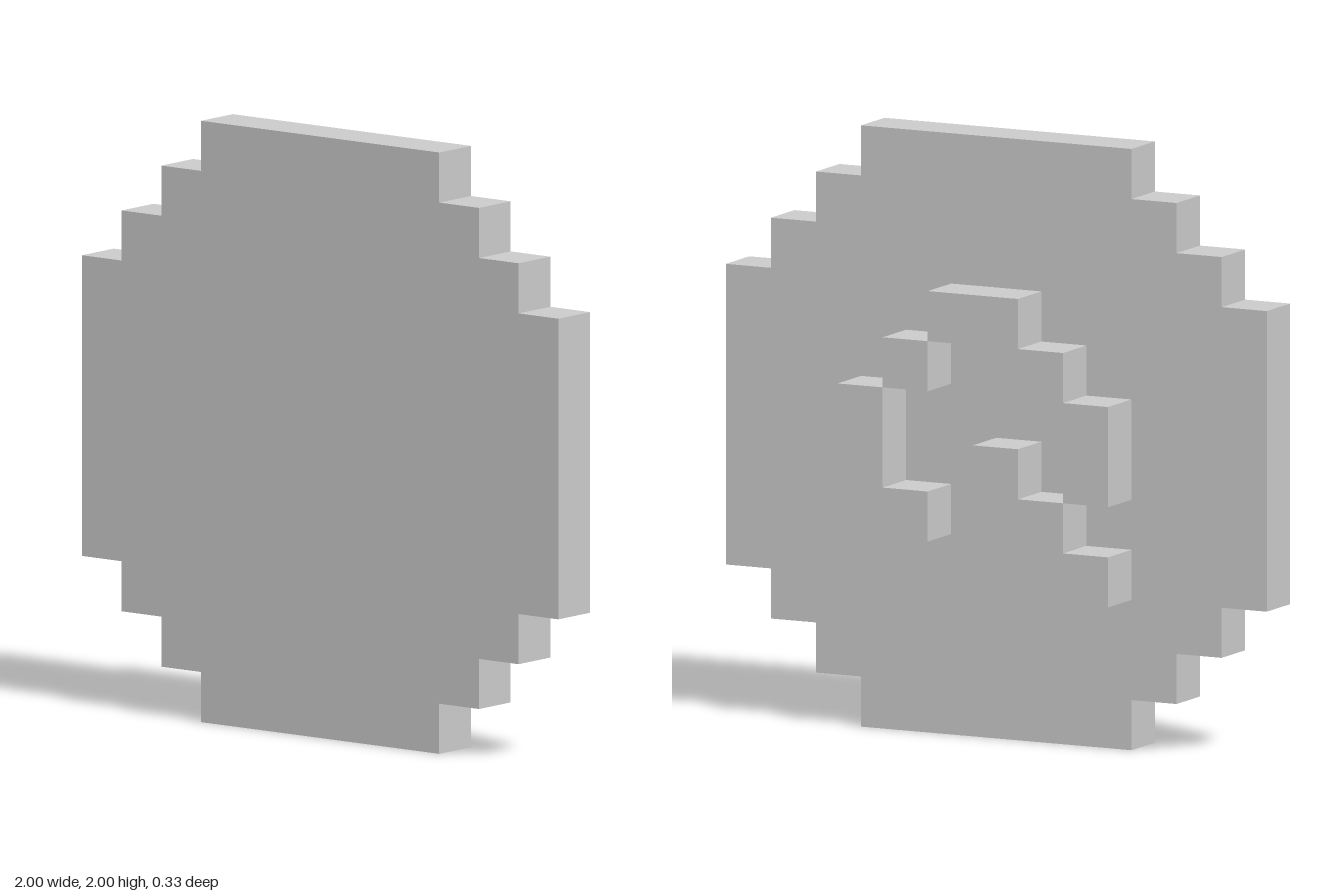
import * as THREE from 'three';

const U = 1 / 6; // one grid cell
const material = new THREE.MeshStandardMaterial({ color: 0xcccccc, flatShading: true });

// Extrude an outline given in grid cells, one cell thick, starting at depth z
function slab(name, points, z) {
  const shape = new THREE.Shape(points.map(([x, y]) => new THREE.Vector2(x * U, y * U)));
  const geometry = new THREE.ExtrudeGeometry(shape, { depth: U, bevelEnabled: false });
  geometry.translate(0, 0, z);
  const mesh = new THREE.Mesh(geometry, material);
  mesh.name = name;
  return mesh;
}

// Rectangular outline with its lower corner at x, y
const rect = (x, y, w, h) => [[x, y], [x + w, y], [x + w, y + h], [x, y + h]];

export function createModel() {
  const group = new THREE.Group();
  group.name = 'steppedDisc';

  // Round plate with stepped corners: one quadrant turned four times about the centre
  const quadrant = [[6, 3], [5, 3], [5, 4], [4, 4], [4, 5], [3, 5], [3, 6]];
  const outline = [];
  let corner = quadrant;
  for (let i = 0; i < 4; i++) {
    outline.push(...corner.map(([x, y]) => [x, y + 6]));
    corner = corner.map(([x, y]) => [-y, x]);
  }
  group.add(slab('plate', outline, 0));

  // Raised circular arrow on the back
  const arrow = new THREE.Group();
  arrow.name = 'circularArrow';
  const arcBlocks = [
    [-1, 8, 2, 1], // top
    [1, 7, 1, 1], [-2, 7, 1, 1], // shoulders
    [2, 5, 1, 2], [-3, 5, 1, 2], // sides
    [1, 4, 1, 1], // tail
  ];
  for (const b of arcBlocks) arrow.add(slab('arcBlock', rect(...b), -U));
  arrow.add(slab('arrowHead',
    [[-3, 3], [0, 3], [0, 6], [-1, 6], [-1, 5], [-2, 5], [-2, 4], [-3, 4]], -U));
  group.add(arrow);

  return group;
}
